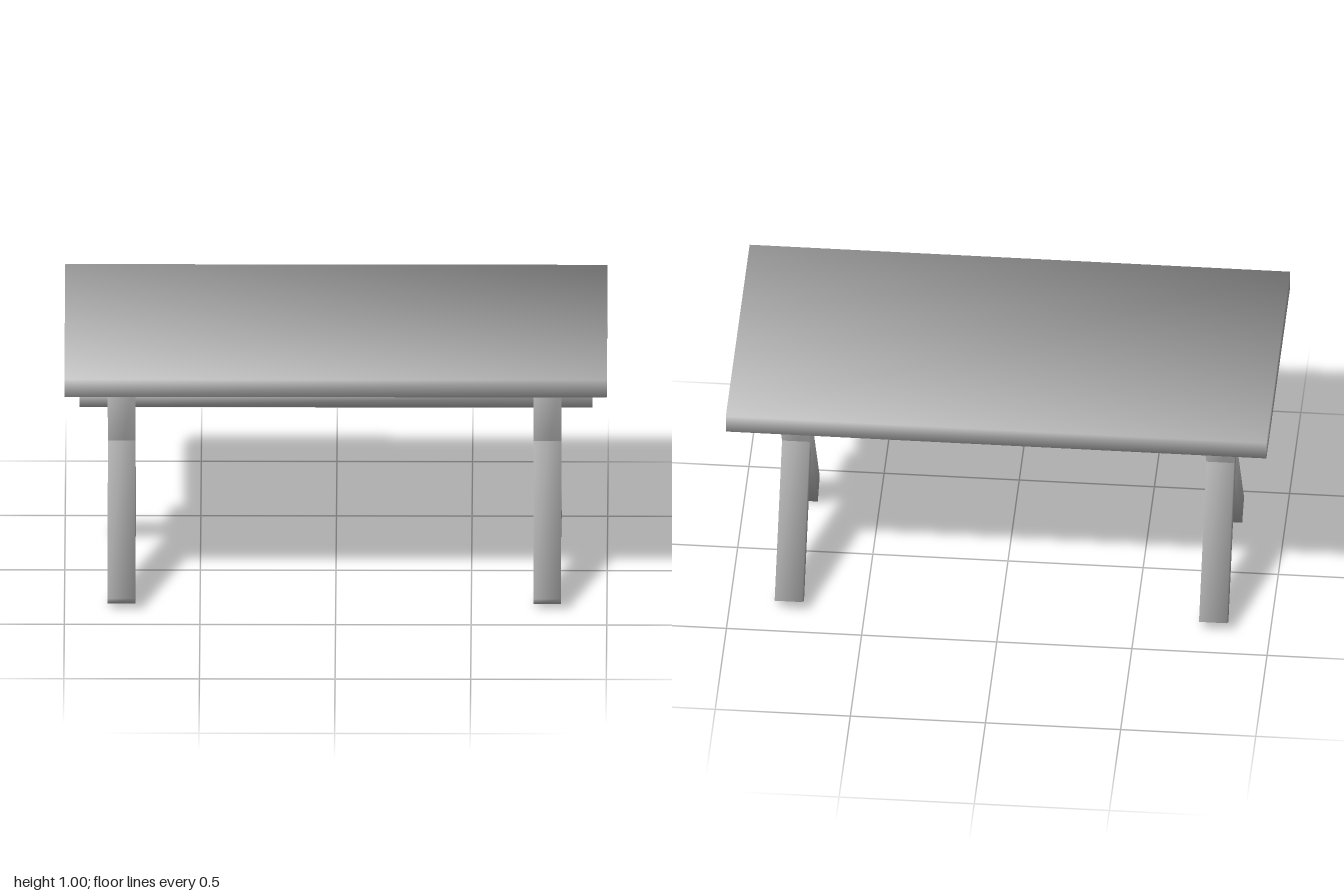
import * as THREE from 'three';

const grey = new THREE.MeshStandardMaterial({ color: 0xc0c0c0 });
grey.name = 'plain grey';

// Box beam with normals shared at the corners, for soft shading
function beam(name, w, h, d) {
  const geo = new THREE.BoxGeometry(w, h, d);
  const pos = geo.attributes.position;
  const n = new THREE.Vector3();
  for (let i = 0; i < pos.count; i++) {
    n.set(Math.sign(pos.getX(i)), Math.sign(pos.getY(i)), Math.sign(pos.getZ(i))).normalize();
    geo.attributes.normal.setXYZ(i, n.x, n.y, n.z);
  }
  const mesh = new THREE.Mesh(geo, grey);
  mesh.name = name;
  return mesh;
}

export function createModel() {
  const table = new THREE.Group();
  table.name = 'trestleTable';

  // Tabletop
  const top = beam('tabletop', 2, 0.07, 1.06);
  top.position.y = 0.965;
  table.add(top);

  // Square rail turned on its edge, resting in the crossed legs
  const rail = beam('rail', 1.89, 0.11, 0.11);
  rail.position.y = 0.735;
  rail.rotation.x = Math.PI / 4;
  table.add(rail);

  // Crossed legs, their upper ends let into the tabletop
  const footY = 0.029, headY = 0.957, footZ = 0.348, headZ = -0.273;
  const length = Math.hypot(headY - footY, headZ - footZ);
  const tilt = Math.atan2(headZ - footZ, headY - footY);
  for (const [side, x] of [['right', -0.79], ['left', 0.78]]) {
    const trestle = new THREE.Group();
    trestle.name = side + 'Trestle';
    for (const s of [1, -1]) {
      const leg = beam(s > 0 ? 'frontLeg' : 'backLeg', 0.102, length, 0.1);
      leg.position.set(x, (footY + headY) / 2, (s * (footZ + headZ)) / 2);
      leg.rotation.x = s * tilt;
      trestle.add(leg);
    }
    table.add(trestle);
  }
  return table;
}
